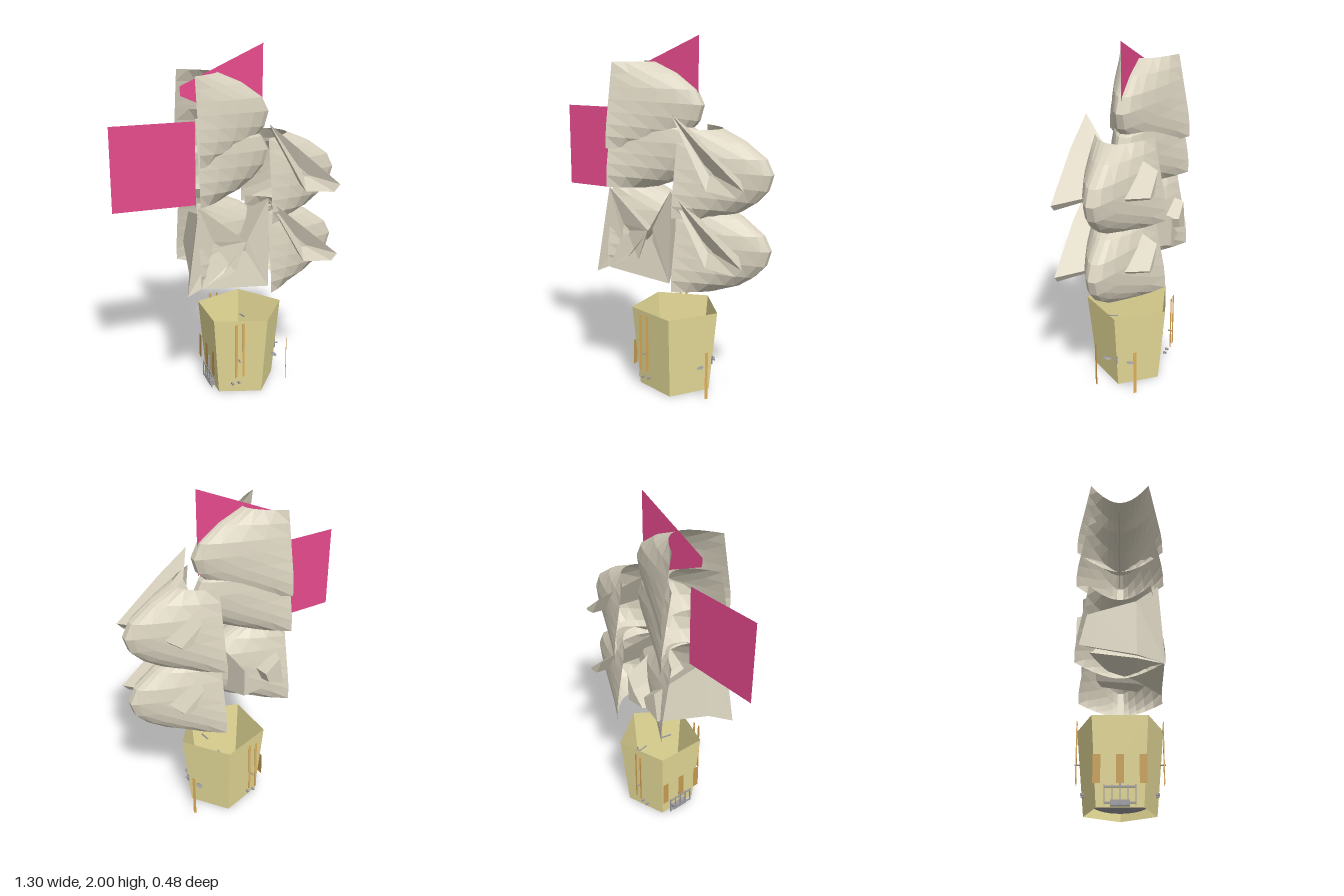
import * as THREE from 'three';

const mat = (name, color, side = THREE.DoubleSide) => {
  const m = new THREE.MeshStandardMaterial({ color, side, flatShading: true });
  m.name = name;
  return m;
};

// Grid surface from rows of [x, y, z] points
function surface(rows, closed = false) {
  const pos = [], idx = [], n = rows[0].length;
  rows.forEach(r => r.forEach(p => pos.push(...p)));
  for (let i = 0; i < rows.length - 1; i++) {
    for (let j = 0; j < (closed ? n : n - 1); j++) {
      const a = i * n + j, b = i * n + (j + 1) % n;
      idx.push(a, a + n, b, b, a + n, b + n);
    }
  }
  const g = new THREE.BufferGeometry();
  g.setAttribute('position', new THREE.Float32BufferAttribute(pos, 3));
  g.setIndex(idx);
  g.computeVertexNormals();
  return g;
}

// Curved hood: blunt nose profile swept back to two straight side edges
function hoodGeometry() {
  const nose = [[-0.06, 1.86], [0.08, 1.80], [0.20, 1.715], [0.24, 1.635], [0.215, 1.55], [0.15, 1.48], [0.07, 1.425], [-0.05, 1.38]];
  const steps = [-1, -0.8, -0.6, -0.4, -0.22, -0.09, 0.09, 0.22, 0.4, 0.6, 0.8, 1];
  return surface(nose.map(([xn, yn], i) => {
    const s = i / (nose.length - 1);
    const w = 0.17 + 0.07 * Math.min(1, s * 1.25), p = 1.3 + 0.4 * Math.abs(2 * s - 1);
    const ys = 1.86 - 0.46 * s;
    return steps.map(u => {
      const t = (Math.abs(u) - 0.09) / 0.91;
      return [xn - (xn + 0.23) * t ** p, yn + (ys - yn) * t, w * u];
    });
  }));
}

// Horn running through a hood: small blunt end at the back, flared mouth at the front
function hornGeometry([cx, cy], mouth, scales) {
  const ring = (k, z) => mouth.map(([x, y]) => [cx + (x - cx) * k, cy + (y - cy) * k, z]);
  const [k0, k1, k2] = scales;
  const front = mouth.map(([x, y, z]) => [x, y, z ?? 0.235]);
  return surface([ring(0, -0.237), ring(k0, -0.237), ring(k1, -0.13), ring(k2, 0.09), front, ring(0.15, 0.2)], true);
}

export function createModel() {
  const root = new THREE.Group();
  root.name = 'hoodedSculpture';
  const shell = mat('stone', 0xd9d2bf), pink = mat('pink', 0xe64a8c), clay = mat('paleOlive', 0xe6db98);
  const gold = mat('gold', 0xdfac5a, THREE.FrontSide), brown = mat('brown', 0xc79d52), grey = mat('grey', 0x9a9aa0);

  const add = (name, geo, m, x = 0, y = 0, z = 0) => {
    const mesh = new THREE.Mesh(geo, m);
    mesh.name = name;
    mesh.position.set(x, y, z);
    root.add(mesh);
    return mesh;
  };
  const box = (name, m, w, h, d, x, y, z) => add(name, new THREE.BoxGeometry(w, h, d), m, x, y, z);

  // Hoods: one column on the right side, two staggered on the left
  const hood = hoodGeometry();
  [[0, 0], [0, -0.215], [0, -0.67], [0.41, -0.345], [0.41, -0.755]]
    .forEach(([x, y]) => add('hood', hood, shell, x, y, 0));

  // Horns through the left column
  const horn = hornGeometry([0.38, 1.31],
    [[0.165, 1.60, 0.215], [0.33, 1.46], [0.59, 1.24], [0.555, 1.20], [0.38, 1.22]], [0.28, 0.42, 0.6]);
  [0, -0.41].forEach(y => add('sideHorn', horn, shell, 0, y, 0));

  // Two wide horns sharing the lowest hood of the right column
  add('outerHorn', hornGeometry([-0.13, 0.94],
    [[-0.23, 1.18, 0.21], [0.03, 0.97], [-0.03, 0.80], [-0.22, 0.73], [-0.305, 0.69]], [0.35, 0.47, 0.7]), shell);
  add('innerHorn', hornGeometry([0.02, 0.94],
    [[0.165, 1.20, 0.22], [0.165, 0.69], [-0.22, 0.725], [-0.10, 0.80], [0.03, 0.96]], [0.33, 0.45, 0.7]), shell);

  // Flat pink panels
  add('squarePanel', new THREE.PlaneGeometry(0.47, 0.47), pink, -0.415, 1.365, 0);
  const fin = new THREE.Shape([[-0.26, 1.79], [-0.26, 1.74], [0.21, 1.53], [0.21, 2.0]].map(p => new THREE.Vector2(...p)));
  add('topFin', new THREE.ShapeGeometry(fin), pink);

  // Five-sided tapered pot, open at both ends
  const pot = new THREE.CylinderGeometry(0.253, 0.208, 0.475, 5, 1, true);
  pot.rotateY(Math.PI / 2);
  pot.scale(1.03, 1, 1);
  add('pot', pot, clay, 0.083, 0.2375, 0);

  // Lens in the pot bottom
  add('baseLens', new THREE.SphereGeometry(0.15, 14, 8), grey, 0.08, 0.045, 0).scale.y = 0.2;

  for (const s of [-1, 1]) {
    // Vertical bars around the pot
    for (const x of [-0.02, 0.022]) box('longBar', gold, 0.012, 0.335, 0.004, x, 0.3075, s * 0.232);
    add('sideBar', new THREE.PlaneGeometry(0.018, 0.28), gold, 0.34, 0.14, s * 0.12).rotation.y = Math.PI / 2 - s * Math.PI / 5;
    // Small fittings
    const leaf = add('sideLeaf', new THREE.SphereGeometry(0.03, 6, 4), grey, 0.28, 0.157, s * 0.075);
    leaf.scale.set(0.5, 0.15, 1);
    box('frontPin', grey, 0.006, 0.006, 0.03, 0.0, 0.24, s * 0.225);
    for (const x of [-0.03, 0.01]) box('hook', grey, 0.012, 0.01, 0.02, x, 0.08, s * 0.195);
    box('innerStick', grey, 0.006, 0.006, 0.08, 0.14, 0.36, s * 0.1).rotation.x = s * 0.2;
  }
  box('sidePin', grey, 0.05, 0.006, 0.006, 0.31, 0.19, 0);
  box('sidePost', grey, 0.008, 0.05, 0.008, 0.315, 0.185, 0);

  // Shutters and low railing on the right side
  for (const z of [-0.12, 0, 0.12]) {
    add('shutter', new THREE.PlaneGeometry(0.04, 0.15), brown, -0.125, 0.19, z).rotation.y = -Math.PI / 2;
  }
  for (const y of [0.02, 0.1]) box('rail', grey, 0.008, 0.008, 0.16, -0.12, y, 0);
  for (let i = -2; i <= 2; i++) box('railPost', grey, 0.006, 0.1, 0.006, -0.12, 0.06, i * 0.04);
  box('tallPost', grey, 0.012, 0.08, 0.012, -0.112, 0.14, 0);
  box('railFoot', grey, 0.03, 0.03, 0.1, -0.105, 0.02, 0);

  return root;
}
